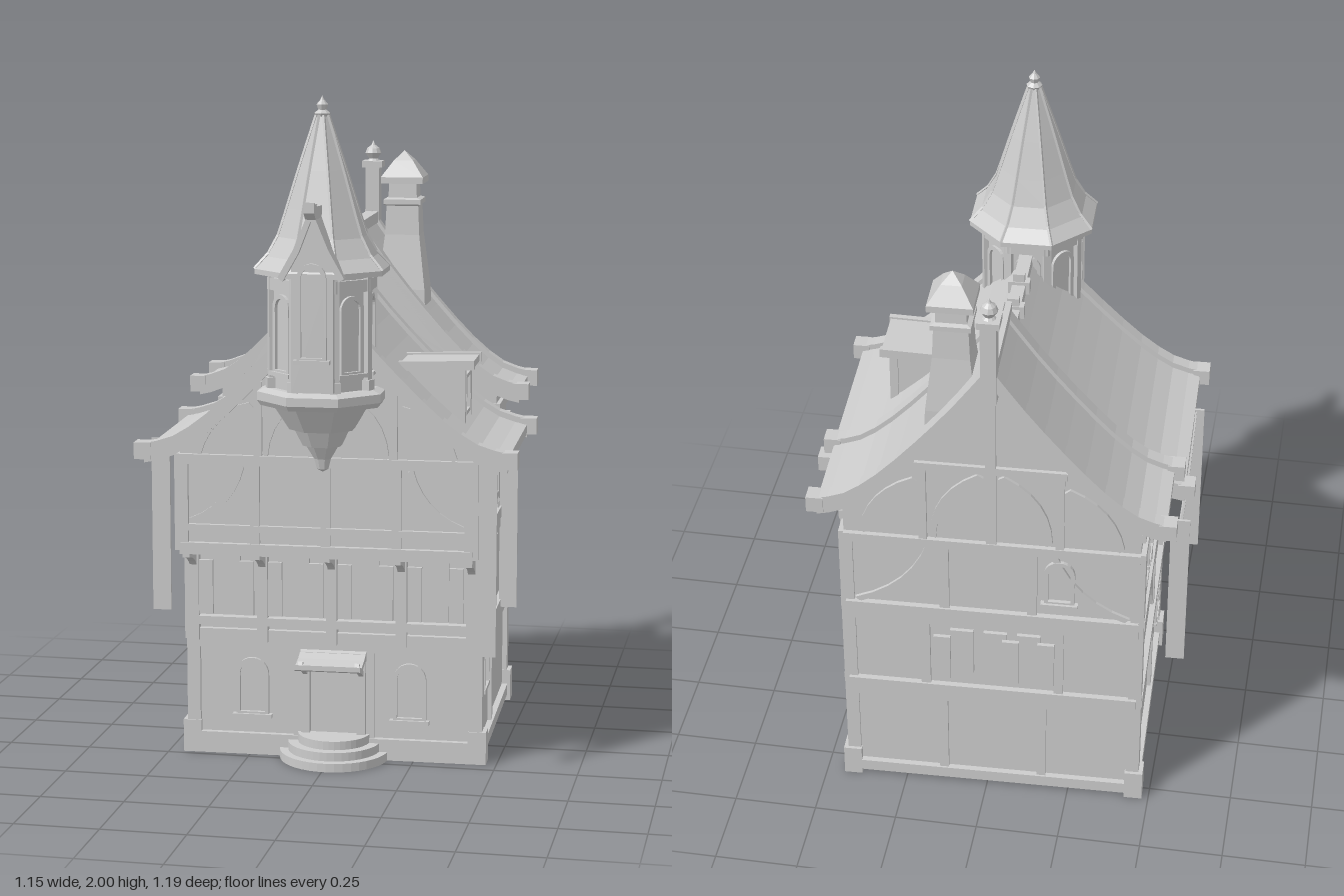
import * as THREE from 'three';

const mat = new THREE.MeshStandardMaterial({ color: 0xcccccc, flatShading: true, side: THREE.DoubleSide });

function add(parent, name, geo, x = 0, y = 0, z = 0) {
  const m = new THREE.Mesh(geo, mat);
  m.name = name;
  m.position.set(x, y, z);
  parent.add(m);
  return m;
}
const box = (p, name, w, h, d, x, y, z) => add(p, name, new THREE.BoxGeometry(w, h, d), x, y, z);
// box given by its lower and upper limits
const span = (p, name, x0, x1, y0, y1, z0, z1) =>
  box(p, name, x1 - x0, y1 - y0, z1 - z0, (x0 + x1) / 2, (y0 + y1) / 2, (z0 + z1) / 2);
const extrude = (shape, depth) => new THREE.ExtrudeGeometry(shape, { depth, bevelEnabled: false, curveSegments: 6 });
const poly = (pts) => new THREE.Shape(pts.map((p) => new THREE.Vector2(p[0], p[1])));
function group(parent, name, x = 0, y = 0, z = 0, ry = 0) {
  const g = new THREE.Group();
  g.name = name;
  g.position.set(x, y, z);
  g.rotation.y = ry;
  parent.add(g);
  return g;
}

// ---- windows and timbers, in a wall's own frame (x along, y up, z outward)
function archShape(w, h) {
  const s = new THREE.Shape();
  s.moveTo(-w / 2, 0);
  s.lineTo(w / 2, 0);
  s.lineTo(w / 2, h - w / 2);
  s.absarc(0, h - w / 2, w / 2, 0, Math.PI, false);
  s.closePath();
  return s;
}
function archWindow(p, x, y, w, h, z = 0) {
  const s = archShape(w, h);
  const hole = archShape(w - 0.024, h - 0.024);
  s.holes.push(new THREE.Path(hole.getPoints(6).map((v) => v.add(new THREE.Vector2(0, 0.012)))));
  add(p, 'archedWindowFrame', extrude(s, 0.012), x, y, z);
  box(p, 'windowSill', w + 0.02, 0.012, 0.024, x, y, z + 0.008);
}
function squareWindow(p, x, y, w, h) {
  for (const s of [-1, 1]) {
    box(p, 'windowJamb', 0.012, h, 0.02, x + s * w / 2, y, 0.006);
    box(p, 'windowRail', w + 0.02, 0.012, 0.022, x, y + s * h / 2, 0.006);
  }
}
function timbers(p, u0, u1, y0, y1, posts, d = 0.012) {
  span(p, 'sillBeam', u0, u1, y0, y0 + 0.035, -0.01, d + 0.006);
  span(p, 'topBeam', u0, u1, y1 - 0.03, y1, -0.01, d + 0.003);
  for (const u of posts) span(p, 'timberPost', u - 0.014, u + 0.014, y0 + 0.03, y1 - 0.02, -0.01, d);
}
// curved brace from (x0,y0) up to (x1,y1), bowed by b
function brace(p, x0, y0, x1, y1, b = 0.04, w = 0.02) {
  const dx = x1 - x0, dy = y1 - y0, L = Math.hypot(dx, dy);
  const nx = -dy / L, ny = dx / L, top = [], low = [];
  for (let i = 0; i <= 6; i++) {
    const t = i / 6, k = 4 * b * t * (1 - t);
    top.push([x0 + dx * t + nx * (k + w / 2), y0 + dy * t + ny * (k + w / 2)]);
    low.unshift([x0 + dx * t + nx * (k - w / 2), y0 + dy * t + ny * (k - w / 2)]);
  }
  add(p, 'curvedBrace', extrude(poly([...top, ...low]), 0.02), 0, 0, -0.01);
}

// ---- swept roof profile, ridge to eave
const sweep = new THREE.SplineCurve([[0, 1], [0.2, 0.72], [0.42, 0.45], [0.65, 0.2], [0.84, 0.05], [1, 0]]
  .map((p) => new THREE.Vector2(...p))).getPoints(10);
function roofLine(w, eave, ridge) {
  const half = sweep.map((p) => [p.x * w, eave + p.y * (ridge - eave)]);
  return [...half.slice(1).reverse().map((p) => [-p[0], p[1]]), ...half];
}
function roofSlab(p, name, line, up, down, z0, z1) {
  const pts = [...line.map((q) => [q[0], q[1] + up]), ...line.map((q) => [q[0], q[1] - down]).reverse()];
  add(p, name, extrude(poly(pts), z1 - z0), 0, 0, z0);
}
function roof(p, w, eave, ridge, z0, z1, wallW, wallY, wz0, wz1) {
  const line = roofLine(w, eave, ridge);
  roofSlab(p, 'roofSlope', line, 0, 0.03, z0, z1);
  for (const [a, b] of [[z0, z0 + 0.042], [z1 - 0.042, z1]]) {
    roofSlab(p, 'bargeBoard', line, 0.018, 0.04, a, b);
    for (const s of [-1, 1])
      box(p, 'bargeEnd', 0.05, 0.05, b - a + 0.01, s * (w + 0.005), eave - 0.005, (a + b) / 2);
  }
  const under = line.filter((q) => Math.abs(q[0]) < wallW).map((q) => [q[0], q[1] - 0.02]);
  const edge = under[0][1] - 0.02;
  add(p, 'gableWall', extrude(poly([[-wallW, wallY], [-wallW, edge], ...under, [wallW, edge], [wallW, wallY]]), wz1 - wz0), 0, 0, wz0);
}

function buildBody(h) {
  // hollow ground floor, open at the bottom
  const W = 0.435;
  const ring = poly([[-W, -0.2], [W, -0.2], [W, 0.545], [-W, 0.545]]);
  ring.holes.push(poly([[-W + 0.04, -0.16], [W - 0.04, -0.16], [W - 0.04, 0.505], [-W + 0.04, 0.505]]));
  add(h, 'groundFloorWalls', extrude(ring, 0.36)).rotation.x = -Math.PI / 2;
  span(h, 'firstFloor', -W, W, 0.35, 0.66, -0.545, 0.225);
  span(h, 'secondFloor', -W, W, 0.65, 0.95, -0.545, 0.35);
  // corner posts with stone feet
  const floors = [[0, 0.36, 0.2], [0.36, 0.66, 0.225], [0.66, 0.95, 0.35]];
  for (const s of [-1, 1]) for (const [y0, y1, zf] of floors) for (const z of [zf - 0.012, -0.533]) {
    span(h, 'cornerPost', s * 0.43 - 0.02, s * 0.43 + 0.02, y0, y1, z - 0.02, z + 0.026);
    if (y0 === 0) box(h, 'postFoot', 0.055, 0.1, 0.06, s * 0.435, 0.05, z);
  }

  // front
  const f0 = group(h, 'groundFront', 0, 0, 0.2);
  timbers(f0, -W, W, 0.03, 0.36, [-0.11, 0.11]);
  span(f0, 'plinth', -W, W, 0, 0.06, -0.01, 0.018);
  for (const x of [-0.25, 0.23]) archWindow(f0, x, 0.12, 0.1, 0.18);
  const f1 = group(h, 'firstFront', 0, 0, 0.225);
  timbers(f1, -W, W, 0.36, 0.66, []);
  span(f1, 'windowSillBeam', -W, W, 0.41, 0.435, 0, 0.03);
  for (const x of [-0.42, -0.21, 0, 0.21, 0.42]) {
    span(f1, 'windowPost', x - 0.016, x + 0.016, 0.36, 0.65, 0, 0.03);
    // curved bracket carrying the overhang
    const b = new THREE.Shape();
    b.moveTo(0, 0.54);
    b.quadraticCurveTo(0.02, 0.62, 0.125, 0.635);
    b.lineTo(0.125, 0.66);
    b.lineTo(0, 0.66);
    add(f1, 'jettyBracket', extrude(b, 0.022), x + 0.011 * 1, 0, 0).rotation.y = -Math.PI / 2;
  }
  for (const x of [-0.315, -0.105, 0.105, 0.315]) {
    span(f1, 'windowFrame', x - 0.035, x + 0.035, 0.44, 0.62, 0, 0.01);
    for (const s of [-1, 1]) box(f1, 'shutter', 0.042, 0.165, 0.012, x + s * 0.062, 0.53, 0.045);
  }
  const f2 = group(h, 'secondFront', 0, 0, 0.35);
  timbers(f2, -W, W, 0.65, 0.95, [-0.21, 0, 0.21]);
  span(f2, 'middleRail', -W, W, 0.72, 0.74, 0, 0.014);
  for (const s of [-1, 1]) {
    brace(f2, s * 0.4, 0.75, s * 0.25, 0.92, s * 0.03);
    span(f2, 'gablePost', s * 0.2 - 0.012, s * 0.2 + 0.012, 0.94, 1.17, 0, 0.012);
    brace(f2, s * 0.38, 0.95, s * 0.22, 1.1, s * -0.035);
    brace(f2, s * 0.18, 0.95, s * 0.03, 1.14, s * -0.04);
  }

  // sides
  for (const s of [-1, 1]) {
    const g = group(h, s > 0 ? 'leftSide' : 'rightSide', s * W, 0, 0, s * Math.PI / 2);
    const lim = (zf) => (s > 0 ? [-zf, 0.545] : [-0.545, zf]);
    const at = (z) => -s * z;
    timbers(g, ...lim(0.2), 0.02, 0.36, [at(-0.09)]);
    timbers(g, ...lim(0.225), 0.36, 0.66, [at(-0.09)]);
    timbers(g, ...lim(0.35), 0.66, 0.95, [at(0.09), at(-0.25)]);
    span(g, 'middleRail', ...lim(0.35), 0.73, 0.75, 0, 0.012);
    const back = [at(-0.25), at(-0.545)].sort((a, b) => a - b);
    span(g, 'upperRail', ...back, 0.99, 1.02, -0.01, 0.012);
    squareWindow(g, at(0.08), 0.26, 0.11, 0.11);
    squareWindow(g, at(-0.36), 0.855, 0.11, 0.11);
    brace(g, at(0.3), 0.76, at(0.12), 0.92, s * 0.03);
    brace(g, at(-0.2), 0.76, at(-0.02), 0.92, s * -0.03);
    brace(g, at(-0.12), 0.42, at(-0.26), 0.63, s * 0.03);
  }

  // back
  const k = group(h, 'backSide', 0, 0, -0.545, Math.PI);
  timbers(k, -W, W, 0.02, 0.36, [-0.15, 0.15]);
  timbers(k, -W, W, 0.36, 0.66, [-0.2, 0.2]);
  timbers(k, -W, W, 0.66, 0.95, [-0.14, 0.12]);
  for (const x of [-0.09, 0.01, 0.11]) span(k, 'backWindow', x - 0.035, x + 0.035, 0.45, 0.61, 0, 0.012);
  for (const x of [-0.145, 0.06, 0.165]) box(k, 'backShutter', 0.05, 0.16, 0.012, x, 0.53, 0.04);
  archWindow(k, 0.2, 0.74, 0.09, 0.16);
  span(k, 'kingPost', -0.015, 0.015, 0.94, 1.52, 0, 0.012);
  span(k, 'collarBeam', -0.22, 0.22, 1.2, 1.225, 0, 0.012);
  for (const s of [-1, 1]) {
    brace(k, s * 0.4, 0.7, s * 0.18, 0.93, s * 0.04);
    span(k, 'gablePost', s * 0.2 - 0.012, s * 0.2 + 0.012, 0.94, 1.22, 0, 0.012);
    brace(k, s * 0.38, 0.96, s * 0.22, 1.16, s * -0.035);
    brace(k, s * 0.17, 0.96, s * 0.03, 1.19, s * -0.04);
  }
}

function buildEntrance(h) {
  const e = group(h, 'entrance', 0, 0, 0.2);
  [0.165, 0.14, 0.11].forEach((r, i) =>
    add(e, 'step', new THREE.CylinderGeometry(r, r, 0.026, 20, 1, false, -Math.PI / 2, Math.PI), 0, 0.013 + i * 0.026, 0));
  span(e, 'door', -0.07, 0.07, 0.075, 0.31, 0, 0.008);
  for (const s of [-1, 1]) {
    span(e, 'doorPost', s * 0.085 - 0.013, s * 0.085 + 0.013, 0.07, 0.33, 0, 0.025);
    box(e, 'awningBracket', 0.014, 0.015, 0.12, s * 0.085, 0.285, 0.055).rotation.x = -0.5;
  }
  span(e, 'lintel', -0.1, 0.1, 0.305, 0.33, 0, 0.03);
  // awning with a turned-up lip
  const a = poly([[0, 0.34], [0.06, 0.318], [0.11, 0.308], [0.14, 0.318], [0.14, 0.303], [0.11, 0.292], [0.06, 0.302], [0, 0.322]]);
  add(e, 'awning', extrude(a, 0.2), 0.1, 0, 0).rotation.y = -Math.PI / 2;
}

function buildRoofs(h) {
  roof(h, 0.535, 0.965, 1.43, -0.25, 0.385, 0.435, 0.94, -0.23, 0.35);
  roof(h, 0.505, 1.065, 1.57, -0.575, -0.25, 0.435, 0.94, -0.545, -0.26);
  span(h, 'ridgeBeam', -0.02, 0.02, 1.41, 1.445, -0.25, 0.3);
  span(h, 'backRidgeBeam', -0.02, 0.02, 1.55, 1.585, -0.56, -0.24);
  for (const z of [0.07, -0.06]) {
    box(h, 'ridgeClamp', 0.065, 0.04, 0.03, 0, 1.435, z);
    box(h, 'ridgeKnob', 0.035, 0.05, 0.024, 0, 1.455, z);
  }
  // finial post on the back gable
  box(h, 'finialPost', 0.045, 0.26, 0.05, 0, 1.6, -0.565);
  box(h, 'finialCap', 0.065, 0.02, 0.065, 0, 1.735, -0.565);
  const f = [[0, 0], [0.025, 0], [0.014, 0.012], [0.026, 0.03], [0.02, 0.045], [0.007, 0.055], [0, 0.07]];
  add(h, 'finial', new THREE.LatheGeometry(f.map((p) => new THREE.Vector2(...p)), 10), 0, 1.74, -0.565);

  // chimney: square sections
  const c = group(h, 'chimney', 0.122, 0, -0.415);
  const sq = (name, pts) => add(c, name, new THREE.LatheGeometry(pts.map(([r, y]) => new THREE.Vector2(r * Math.SQRT2, y)), 4, Math.PI / 4));
  sq('chimneyStack', [[0.078, 1.25], [0.074, 1.36], [0.054, 1.53], [0.05, 1.62], [0.058, 1.625], [0.058, 1.64], [0.045, 1.645], [0.042, 1.7]]);
  sq('chimneyCap', [[0, 1.69], [0.066, 1.69], [0.066, 1.71], [0.03, 1.76], [0, 1.79]]);

  // dormer
  const d = group(h, 'dormer', 0, 0, 0.09);
  span(d, 'dormerBody', 0.2, 0.375, 1.03, 1.19, -0.075, 0.075);
  box(d, 'dormerRoof', 0.22, 0.02, 0.17, 0.3, 1.2, 0).rotation.z = 0.03;
  for (const s of [-1, 1]) {
    box(d, 'dormerRoofEdge', 0.225, 0.028, 0.018, 0.302, 1.202, s * 0.088).rotation.z = 0.03;
    box(d, 'dormerPost', 0.025, 0.16, 0.022, 0.375, 1.11, s * 0.072);
    box(d, 'dormerWindowJamb', 0.016, 0.11, 0.012, 0.38, 1.11, s * 0.045);
    box(d, 'dormerWindowRail', 0.016, 0.012, 0.1, 0.38, 1.11 + s * 0.055, 0);
  }

  // hanging boards below the eaves, joined by a sagging cord
  for (const [x, y0, z0, z1] of [[0.475, 0.37, -0.27, 0.35], [-0.535, 0.43, -0.385, 0.17]]) {
    for (const z of [z0, z1]) span(h, 'hangingBoard', x - 0.028, x + 0.028, y0, 0.96, z - 0.004, z + 0.004);
    const cord = new THREE.QuadraticBezierCurve3(new THREE.Vector3(x, 0.95, z0), new THREE.Vector3(x, 0.87, (z0 + z1) / 2), new THREE.Vector3(x, 0.95, z1));
    add(h, 'cord', new THREE.TubeGeometry(cord, 12, 0.006, 5));
  }
}

function buildTurret(h) {
  const t = group(h, 'turret', -0.006, 0, 0.365);
  const oct = (name, pts) => add(t, name, new THREE.LatheGeometry(pts.map((p) => new THREE.Vector2(...p)), 8, Math.PI / 8));
  oct('turretBase', [[0, 0.91], [0.018, 0.92], [0.026, 0.95], [0.05, 0.99], [0.06, 0.99], [0.085, 1.04], [0.1, 1.04], [0.145, 1.11], [0.165, 1.115]]);
  oct('turretLedge', [[0.1, 1.115], [0.185, 1.115], [0.195, 1.13], [0.195, 1.155], [0.17, 1.165], [0.1, 1.165]]);
  oct('turretWalls', [[0.15, 1.15], [0.15, 1.5]]);
  oct('turretTopBeam', [[0.145, 1.45], [0.163, 1.45], [0.163, 1.485], [0.145, 1.485]]);
  const sp = [[0.2, 1.495], [0.2, 1.51], [0.165, 1.545], [0.132, 1.6], [0.105, 1.68], [0.07, 1.79], [0.018, 1.945]];
  oct('spire', [[0, 1.49], ...sp]);
  const fin = [[0.018, 1.94], [0.024, 1.95], [0.012, 1.96], [0.017, 1.975], [0.006, 1.988], [0, 2]];
  add(t, 'spireFinial', new THREE.LatheGeometry(fin.map((p) => new THREE.Vector2(...p)), 8));
  for (let i = 0; i < 8; i++) {
    const r = group(t, 'turretCorner', 0, 0, 0, Math.PI / 8 + i * Math.PI / 4);
    const path = new THREE.CatmullRomCurve3(sp.slice(1).map((p) => new THREE.Vector3(0, p[1], p[0])));
    add(r, 'spireRib', new THREE.TubeGeometry(path, 8, 0.005, 4));
    box(r, 'turretPost', 0.024, 0.34, 0.024, 0, 1.325, 0.148);
    box(r, 'postBase', 0.032, 0.03, 0.032, 0, 1.18, 0.15);
    const face = group(t, 'turretFace', 0, 0, 0, i * Math.PI / 4);
    archWindow(face, 0, 1.21, 0.08, 0.23, 0.136);
  }
  // steep front gable with a projecting ridge beam
  add(t, 'turretGable', extrude(poly([[-0.06, 1.17], [0.06, 1.17], [0.06, 1.54], [0, 1.68], [-0.06, 1.54]]), 0.12), 0, 0, 0.06);
  archWindow(t, 0, 1.26, 0.085, 0.28, 0.18);
  for (const s of [-1, 1]) {
    const p = poly([[0, 1.7], [s * 0.05, 1.58], [s * 0.095, 1.5], [s * 0.08, 1.49], [s * 0.035, 1.57], [0, 1.66]]);
    add(t, 'gableRoof', extrude(p, 0.15), 0, 0, 0.05);
  }
  const beam = poly([[0.06, 1.66], [0.2, 1.665], [0.225, 1.685], [0.225, 1.715], [0.17, 1.7], [0.06, 1.695]]);
  add(t, 'gableRidgeBeam', extrude(beam, 0.03), 0.015, 0, 0).rotation.y = -Math.PI / 2;
}

export function createModel() {
  const model = new THREE.Group();
  model.name = 'timberHouse';
  // the house stands slightly turned
  const h = group(model, 'house', 0, 0, 0, 0.032);
  buildBody(h);
  buildEntrance(h);
  buildRoofs(h);
  buildTurret(h);
  return model;
}
